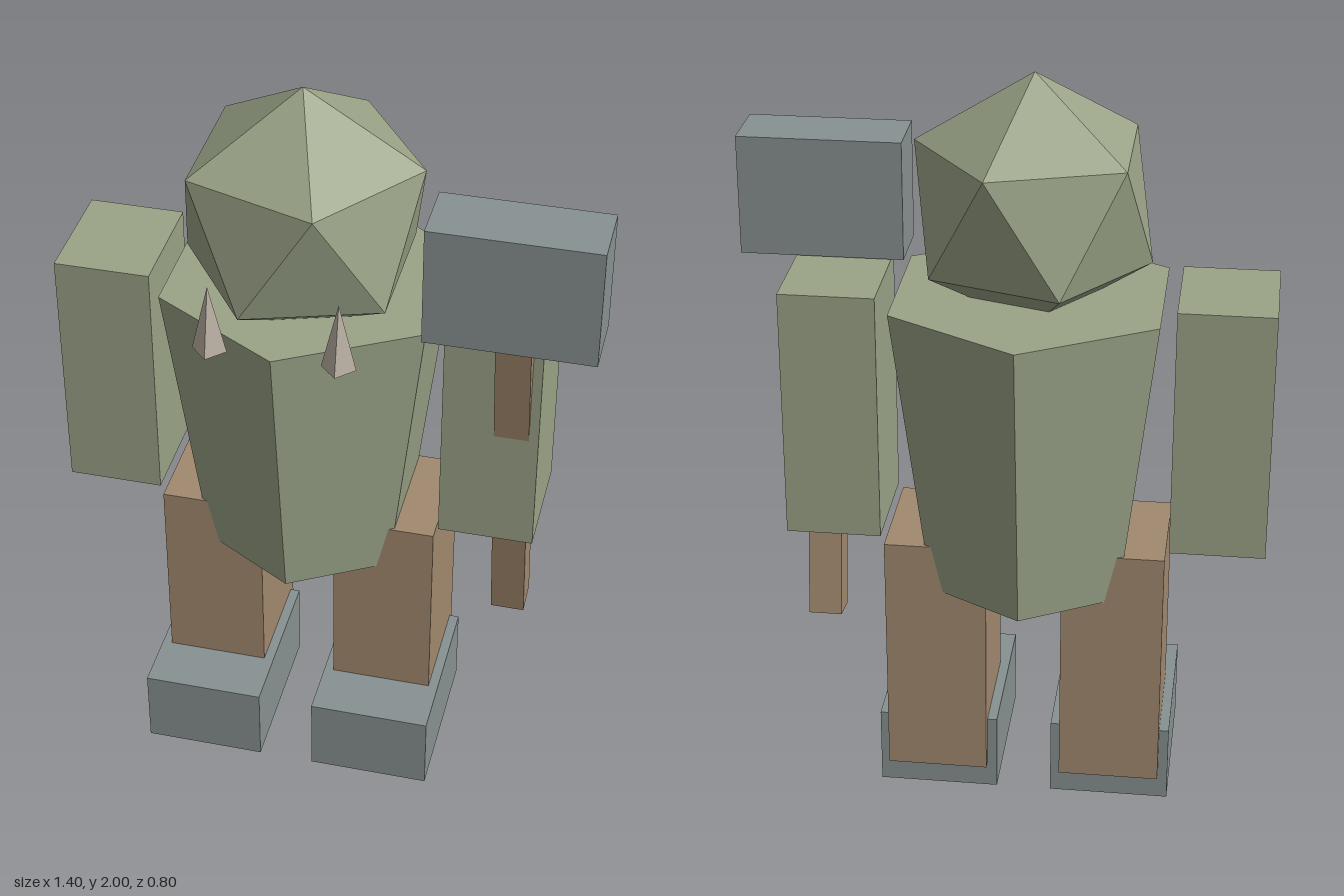
import * as THREE from 'three';

const material = (name, color) => {
  const m = new THREE.MeshStandardMaterial({ color, flatShading: true });
  m.name = name;
  return m;
};

export function createModel() {
  const skin = material('sage green', 0x9aa387);
  const hide = material('tan brown', 0xa2896f);
  const iron = material('grey', 0x889191);
  const ivory = material('ivory', 0xb9afa3);

  const model = new THREE.Group();
  model.name = 'figure';
  const bodyX = -0.075;

  const add = (name, geometry, mat, x, y, z, parent = model) => {
    const mesh = new THREE.Mesh(geometry, mat);
    mesh.name = name;
    mesh.position.set(x, y, z);
    parent.add(mesh);
    return mesh;
  };

  // Six-sided tapered torso with a ridge at the front and back
  add('torso', new THREE.CylinderGeometry(0.394, 0.287, 0.81, 6), skin, bodyX, 1.03, -0.005);

  // Head: icosahedron standing on one of its points
  const headShape = new THREE.IcosahedronGeometry(0.341, 0);
  headShape.rotateZ(-Math.atan(2 / (1 + Math.sqrt(5))));
  add('head', headShape, skin, bodyX, 1.66, 0.047);

  // Paired limbs, boots and tusks
  for (const [side, s] of [['left', 1], ['right', -1]]) {
    add(side + 'Arm', new THREE.BoxGeometry(0.25, 0.68, 0.306), skin, bodyX + s * 0.505, 1.12, -0.007);
    add(side + 'Leg', new THREE.BoxGeometry(0.27, 0.685, 0.324), hide, bodyX + s * 0.235, 0.4175, -0.006);
    add(side + 'Boot', new THREE.BoxGeometry(0.322, 0.215, 0.45), iron, bodyX + s * 0.235, 0.1075, 0.085);
    add(side + 'Tusk', new THREE.ConeGeometry(0.044, 0.185, 4), ivory, bodyX + s * 0.162, 1.5125, 0.355);
  }

  // Hammer: handle leaning forward through the left arm, block head on top
  const hammer = new THREE.Group();
  hammer.name = 'hammer';
  model.add(hammer);
  const handle = add('hammerHandle', new THREE.BoxGeometry(0.09, 1.18, 0.087), hide, 0.485, 1.038, 0.09, hammer);
  handle.rotation.x = 0.153;
  add('hammerHead', new THREE.BoxGeometry(0.43, 0.32, 0.176), iron, 0.485, 1.625, 0.177, hammer);

  return model;
}
